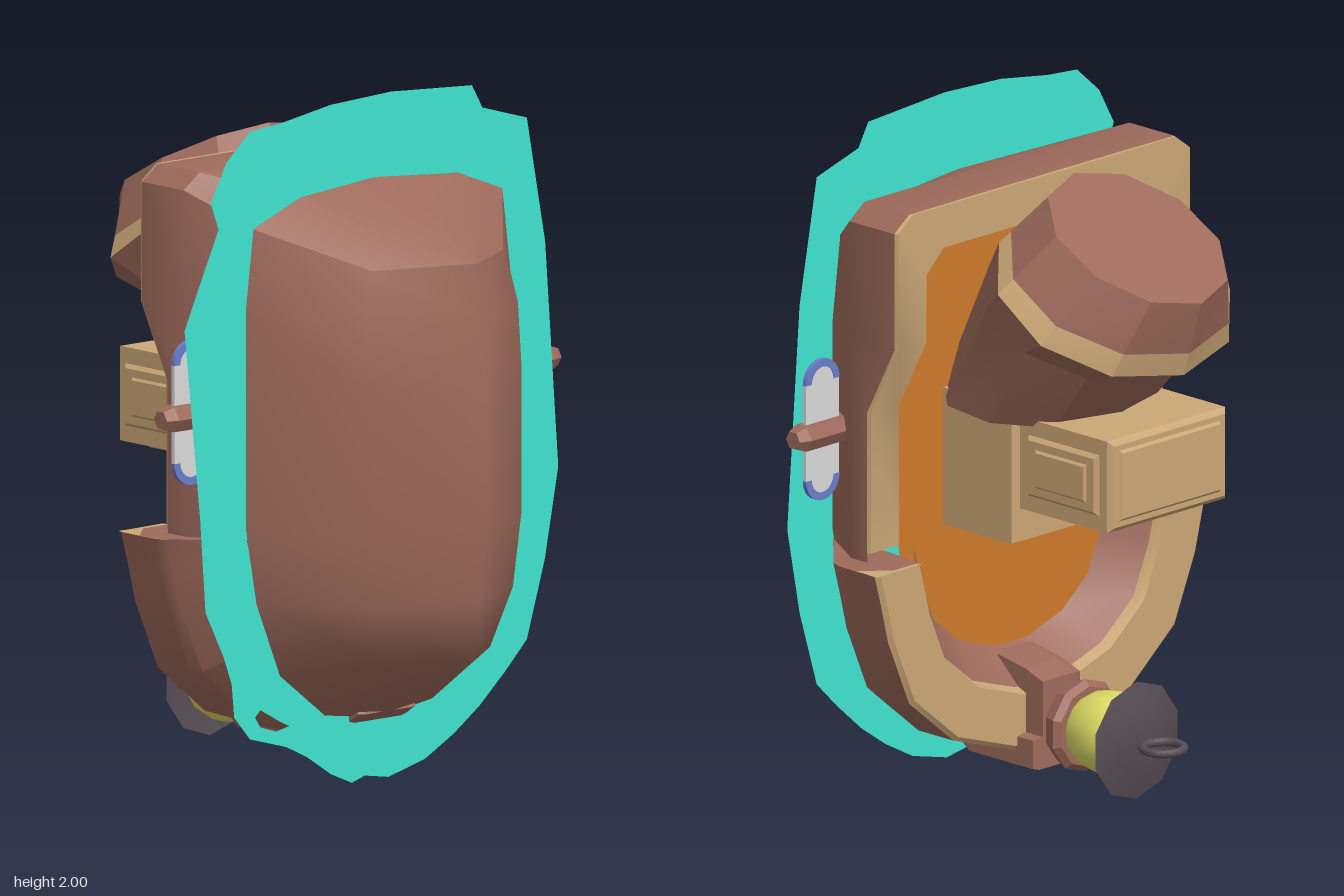
import * as THREE from 'three';
import { toCreasedNormals } from 'three/addons/utils/BufferGeometryUtils.js';

const paint = (name, color) => {
  const m = new THREE.MeshStandardMaterial({ color, side: THREE.DoubleSide });
  m.name = name;
  return m;
};

// surface through rows of equal length, optionally closing each row
function loft(rows, closed = false, crease = 0.5) {
  const n = rows[0].length, index = [];
  for (let i = 0; i < rows.length - 1; i++) {
    for (let j = 0; j < (closed ? n : n - 1); j++) {
      const k = (j + 1) % n, a = i * n + j, b = i * n + k;
      index.push(a, b, a + n, b, b + n, a + n);
    }
  }
  const g = new THREE.BufferGeometry();
  g.setAttribute('position', new THREE.Float32BufferAttribute(rows.flat(2), 3));
  g.setIndex(index);
  return toCreasedNormals(g, crease);
}

const flip = ([x, y, z]) => [-x, y, z];
// half section running from the edge to the centre line, completed by mirroring
const whole = (half) => [...half, ...half.slice(0, -1).reverse().map(flip)];
const mirrorRows = (rows) => [...rows, ...rows.slice(0, -1).reverse().map((r) => r.map(flip))];
const shapeOf = (pts) => new THREE.Shape(pts.map(([x, y]) => new THREE.Vector2(x, y)));

export function createModel() {
  const model = new THREE.Group();
  const brown = paint('hull brown', 0x9e6a5b);
  const tan = paint('trim tan', 0xcba776);
  const teal = paint('water teal', 0x40e4d0);
  const orange = paint('deck orange', 0xcf7a2c);
  const yellow = paint('lamp yellow', 0xdedc64);
  const dark = paint('dark metal', 0x574c54);
  const blue = paint('float blue', 0x6a7ecc);
  const grey = paint('float grey', 0xdadada);

  const add = (name, geometry, material, x = 0, y = 0, z = 0, parent = model) => {
    const mesh = new THREE.Mesh(geometry, material);
    mesh.name = name;
    mesh.position.set(x, y, z);
    parent.add(mesh);
    return mesh;
  };

  // water sheet with a ragged edge and one small hole
  const water = shapeOf([[-0.61, 1.68], [-0.64, 1.76], [-0.58, 1.87], [-0.49, 1.95], [-0.37, 1.96],
    [-0.18, 1.99], [0.05, 2], [0.36, 1.98], [0.4, 1.91], [0.57, 1.86], [0.64, 1.49],
    [0.69, 0.83], [0.64, 0.57], [0.57, 0.34], [0.49, 0.26], [0.39, 0.17], [0.29, 0.1], [0.18, 0.04],
    [0.04, 0.005], [-0.05, 0.02], [-0.1, 0.005], [-0.18, 0.04], [-0.27, 0.1], [-0.35, 0.14],
    [-0.49, 0.18], [-0.55, 0.25], [-0.56, 0.35], [-0.59, 0.43], [-0.66, 0.57], [-0.68, 0.84], [-0.74, 1.4]]);
  water.holes.push(shapeOf([[-0.47, 0.24], [-0.45, 0.26], [-0.38, 0.22], [-0.34, 0.2], [-0.39, 0.19], [-0.45, 0.21]]));
  add('waterSheet', new THREE.ShapeGeometry(water), teal, 0, 0, 0.262);

  // hull sections from stern to bow: rim, side, waterline, chine, keel
  const transomEdge = [[0.6, 1.77, -0.08], [0.6, 1.77, 0.1], [0.47, 1.66, 0.27], [0.25, 1.55, 0.52], [0, 1.565, 0.69]];
  const stations = [
    transomEdge,
    [[0.6, 1.42, -0.08], [0.6, 1.42, 0.1], [0.5, 1.42, 0.27], [0.28, 1.4, 0.55], [0, 1.4, 0.71]],
    [[0.6, 1.21, 0.03], [0.6, 1.21, 0.1], [0.5, 1.21, 0.27], [0.29, 1.21, 0.555], [0, 1.22, 0.73]],
    [[0.6, 0.79, 0.03], [0.6, 0.79, 0.1], [0.5, 0.79, 0.27], [0.29, 0.79, 0.555], [0, 0.8, 0.73]],
    [[0.58, 0.57, 0.03], [0.56, 0.57, 0.1], [0.46, 0.57, 0.27], [0.27, 0.57, 0.54], [0, 0.58, 0.7]],
    [[0.5, 0.36, 0.03], [0.48, 0.36, 0.1], [0.37, 0.35, 0.27], [0.2, 0.4, 0.52], [0, 0.4, 0.67]],
    [[0.33, 0.2, 0.03], [0.3, 0.2, 0.1], [0.2, 0.215, 0.27], [0.1, 0.29, 0.43], [0, 0.3, 0.48]],
    [[0, 0.13, 0.03], [0, 0.12, 0.1], [0, 0.185, 0.27], [0, 0.23, 0.35], [0, 0.3, 0.48]],
  ];
  add('hull', loft(stations.map(whole), false, 1.25), brown);

  // transom: outer edge, crowned middle line, centre line
  const crown = [[0.54, 1.815, -0.08], [0.54, 1.815, 0.1], [0.29, 1.73, 0.27], [0.13, 1.61, 0.53], [0, 1.565, 0.69]];
  const spine = [[0, 1.815, -0.08], [0, 1.815, 0.1], [0, 1.755, 0.27], [0, 1.65, 0.5], [0, 1.565, 0.69]];
  add('transom', loft([transomEdge, crown, spine, crown.map(flip), transomEdge.map(flip)]), brown);

  // stern bulwark: trim along the edge with a sloping inner wall
  const sternPath = [[0.6, 0.79, 0.02], [0.6, 1.21, 0.02], [0.6, 1.42, -0.09], [0.6, 1.77, -0.09], [0.54, 1.815, -0.09], [0, 1.815, -0.09]];
  const sternInner = [[0.48, 0.79], [0.48, 1.21], [0.48, 1.42], [0.48, 1.62], [0.41, 1.69], [0, 1.69]];
  const sternRim = sternPath.map(([x, y, z], i) => [[x, y, z + 0.012], [x * 0.99, y, z], [...sternInner[i], z], [...sternInner[i], z + 0.03]]);
  const sternWall = sternPath.map(([, , z], i) => [[...sternInner[i], z + 0.03], [sternInner[i][0] * 0.95, sternInner[i][1] - 0.02, 0.06]]);
  add('sternTrim', loft(mirrorRows(sternRim)), tan);
  add('sternInnerWall', loft(mirrorRows(sternWall)), brown);

  // bow bulwark: flared outer wall, trim on its edge and a bowl inside
  const bowPath = [[0.68, 0.76], [0.655, 0.67], [0.625, 0.55], [0.54, 0.35], [0.36, 0.2], [0.12, 0.12], [0, 0.115]];
  const shrink = ([x, y], s) => [x * s, 0.77 + (y - 0.77) * s];
  const bow = (list) => mirrorRows(bowPath.map((p) => list.map(([s, z]) => [...shrink(p, s), z])));
  add('bowOuterWall', loft(bow([[0.72, 0.275], [0.98, 0.1], [1, 0.06], [1, -0.08]])), brown);
  add('bowTrim', loft(bow([[1, -0.08], [0.98, -0.092], [0.75, -0.092], [0.73, -0.06]])), tan);
  add('bowInnerWall', loft(bow([[0.73, -0.06], [0.56, 0.06]])), brown);
  // closed upper ends of the bow bulwark, tan along the rim and brown below
  const endTrim = shapeOf([[0.5, -0.092], [0.68, -0.092], [0.68, 0], [0.6, -0.075], [0.5, -0.075]]);
  const endBody = shapeOf([[0.5, -0.075], [0.6, -0.075], [0.68, 0], [0.68, 0.06], [0.665, 0.1], [0.49, 0.275], [0.48, 0.06]]);
  for (const s of [1, -1]) {
    for (const [name, shape, material] of [['bowEndTrim', endTrim, tan], ['bowEnd', endBody, brown]]) {
      const end = add(name, new THREE.ShapeGeometry(shape), material, 0, 0.761, 0);
      end.rotation.x = Math.PI / 2;
      end.scale.x = s;
    }
  }

  // deck floor
  const deckHalf = [[0, 0.32], [0.28, 0.38], [0.42, 0.52], [0.46, 0.8], [0.46, 1.6], [0.39, 1.67]];
  const deck = [...deckHalf, ...deckHalf.slice(1).reverse().map(([x, y]) => [-x, y])];
  add('deck', new THREE.ShapeGeometry(shapeOf(deck)), orange, 0, 0, 0.045);

  // bow bracket: a wide shoe below the rim and a narrower post over it
  const bracket = (name, halfWidth, pts) => {
    const g = new THREE.ExtrudeGeometry(shapeOf(pts),
      { depth: 2 * halfWidth - 0.04, bevelEnabled: true, bevelThickness: 0.02, bevelSize: 0.005, bevelSegments: 1 });
    g.translate(0, 0, 0.02 - halfWidth);
    add(name, g.rotateY(Math.PI / 2), brown);
  };
  bracket('bracketShoe', 0.11, [[-0.3, 0.21], [-0.1, 0.075], [0.155, 0.075], [0.155, 0.16], [-0.1, 0.16], [-0.27, 0.25]]);
  bracket('bracketPost', 0.075, [[-0.05, 0.1], [0.16, 0.1], [0.16, 0.33], [0.09, 0.355], [-0.05, 0.38]]);

  // lantern turned around an axis pointing backwards
  const lantern = new THREE.Group();
  lantern.name = 'lantern';
  lantern.position.y = 0.205;
  model.add(lantern);
  const turned = (name, profile, sides, material, crease) => {
    const g = new THREE.LatheGeometry(profile.map(([r, d]) => new THREE.Vector2(r, d)), sides);
    g.rotateX(-Math.PI / 2);
    return add(name, toCreasedNormals(g, crease), material, 0, 0, 0, lantern);
  };
  turned('lanternBase', [[0, 0.21], [0.12, 0.21], [0.138, 0.255], [0.12, 0.272], [0, 0.272]], 10, brown, 0.3);
  turned('lanternGlass', [[0.095, 0.27], [0.115, 0.305], [0.123, 0.36], [0.123, 0.4], [0.112, 0.44], [0.09, 0.475]], 16, yellow, 0.9);
  turned('lanternCap', [[0, 0.48], [0.1, 0.474], [0.175, 0.462], [0.1, 0.482], [0, 0.492]], 10, dark, 0.5);
  const ring = new THREE.TorusGeometry(0.06, 0.013, 8, 16);
  ring.rotateX(Math.PI / 2);
  add('lanternRing', ring, dark, 0, 0, -0.57, lantern);

  // side floats: grey plates with blue curved borders, on hexagonal pegs
  const border = new THREE.Shape().absarc(0, 0, 0.068, 0, Math.PI, false);
  border.absarc(0, 0, 0.045, Math.PI, 0, true);
  for (const s of [1, -1]) {
    const side = new THREE.Group();
    side.name = s > 0 ? 'leftFloat' : 'rightFloat';
    side.scale.x = s;
    model.add(side);
    const peg = toCreasedNormals(new THREE.LatheGeometry([[0.042, 0], [0.042, 0.215], [0.028, 0.25], [0, 0.25]]
      .map(([r, d]) => new THREE.Vector2(r, d)), 6), 0.3);
    peg.rotateZ(-Math.PI / 2);
    add('peg', peg, brown, 0.505, 1.13, 0.175, side);
    add('floatBody', new THREE.BoxGeometry(0.134, 0.29, 0.012), grey, 0.64, 1.14, 0.175, side);
    for (const e of [1, -1]) {
      const tip = new THREE.CylinderGeometry(0.046, 0.046, 0.01, 12, 1, false, 0, Math.PI);
      tip.rotateX(Math.PI / 2);
      tip.rotateZ(e * Math.PI / 2);
      add('floatTip', tip, grey, 0.64, 1.14 + e * 0.143, 0.175, side);
      const edge = new THREE.ExtrudeGeometry(border, { depth: 0.014, bevelEnabled: false, curveSegments: 8 });
      edge.translate(0, 0, -0.007);
      add('floatBorder', edge, blue, 0.64, 1.14 + e * 0.143, 0.175, side).rotation.z = e > 0 ? 0 : Math.PI;
    }
  }

  // cabin: a wide base and a narrower box with raised panels
  add('cabinBase', new THREE.BoxGeometry(0.55, 0.41, 0.28), tan, 0, 1.008, -0.09);
  const bevelBox = (w, h, d, b) => {
    const x = w / 2 - b, y = h / 2 - b;
    const g = new THREE.ExtrudeGeometry(shapeOf([[-x, -y], [x, -y], [x, y], [-x, y]]),
      { depth: d - 2 * b, bevelEnabled: true, bevelSize: b, bevelThickness: b, bevelSegments: 1 });
    return g.translate(0, 0, b - d / 2);
  };
  add('cabinBox', bevelBox(0.48, 0.275, 0.39, 0.015), tan, 0, 1.04, -0.4);
  add('rearPanel', bevelBox(0.42, 0.22, 0.03, 0.012), tan, 0, 1.04, -0.588);
  for (const s of [1, -1]) {
    for (const [w, h, out] of [[0.28, 0.18, 0.24], [0.21, 0.12, 0.247]]) {
      add('sidePanel', bevelBox(w, h, 0.03, 0.01), tan, s * out, 1.04, -0.41).rotation.y = Math.PI / 2;
    }
    add('bottomPanel', bevelBox(0.18, 0.25, 0.04, 0.014), tan, s * 0.11, 0.905, -0.4).rotation.x = Math.PI / 2;
  }

  // tilted ten-sided funnel; each ring spans two points in the side plane
  const funnelRing = (rx, [za, ya], [zb, yb]) => Array.from({ length: 10 }, (_, i) => {
    const t = i * Math.PI / 5, c = (1 - Math.cos(t)) / 2;
    return [rx * Math.sin(t), ya + (yb - ya) * c, za + (zb - za) * c];
  });
  const cap = funnelRing(0.265, [-0.21, 1.85], [-0.725, 1.57]);
  const bandTop = funnelRing(0.365, [-0.115, 1.745], [-0.675, 1.41]);
  const bandLow = funnelRing(0.405, [-0.09, 1.715], [-0.652, 1.34]);
  const neck = funnelRing(0.38, [-0.05, 1.64], [-0.53, 1.31]);
  const foot = funnelRing(0.34, [0.17, 1.2], [-0.38, 1.15]);
  const centre = Array(10).fill([0, 1.71, -0.465]);
  add('funnelTop', loft([centre, cap, bandTop], true, 0.2), brown);
  add('funnelBand', loft([bandTop, bandLow], true, 0.2), tan);
  add('funnelBody', loft([bandLow, neck, foot, Array(10).fill([0, 1.175, -0.1])], true, 0.2), brown);

  return model;
}
